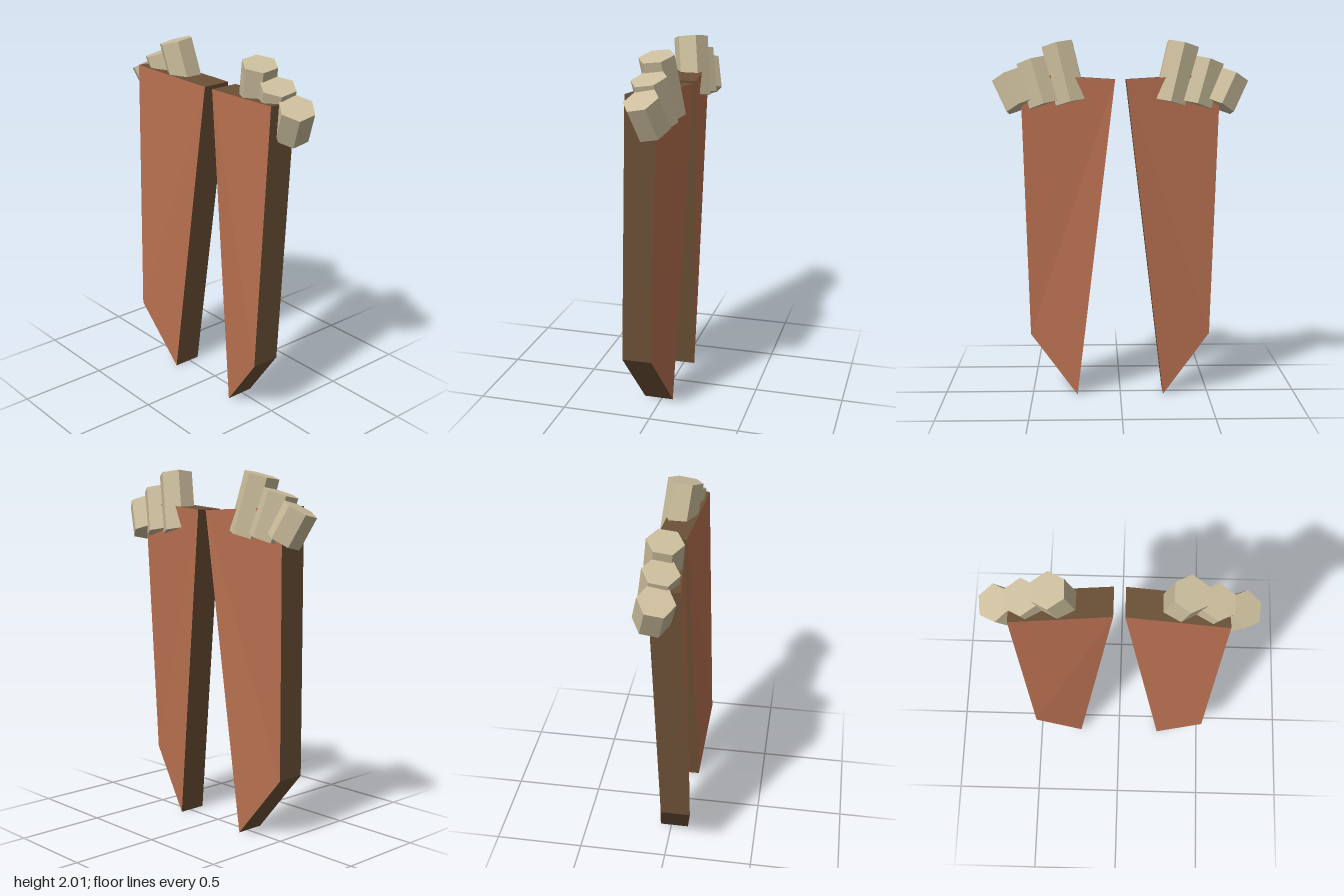
import * as THREE from 'three';

const THICK = 0.165;
// Panel outline on its front face (left side): inner top, outer top, outer bottom, tip
const OUTLINE = [
  [0.03, 1.79, 0.045],
  [0.55, 1.82, 0.1],
  [0.51, 0.345, 0.147],
  [0.245, 0, 0.1],
];
// Hexagonal pegs: centre of the cap, length, sideways lean and forward lean
const PEGS = [
  { cap: [0.347, 1.98, -0.007], length: 0.33, side: 13.5, forward: 7 },
  { cap: [0.485, 1.89, -0.007], length: 0.255, side: 16, forward: 9 },
  { cap: [0.624, 1.81, -0.007], length: 0.19, side: 26, forward: 12.4 },
];

// Flat-faced geometry from quads, wound the other way on the mirrored side
function quadGeometry(quads, side) {
  const pos = [];
  for (const [a, b, c, d] of quads) {
    const corners = side > 0 ? [a, c, b, a, d, c] : [a, b, c, a, c, d];
    for (const [x, y, z] of corners) pos.push(x * side, y, z);
  }
  const g = new THREE.BufferGeometry();
  g.setAttribute('position', new THREE.Float32BufferAttribute(pos, 3));
  g.computeVertexNormals();
  return g;
}

function makeSide(side, mats) {
  const half = new THREE.Group();
  half.name = side > 0 ? 'leftHalf' : 'rightHalf';
  const add = (geometry, material, name) => {
    const mesh = new THREE.Mesh(geometry, material);
    mesh.name = name;
    half.add(mesh);
    return mesh;
  };

  // Tapered slab: broad faces and rim
  const front = OUTLINE;
  const back = OUTLINE.map(([x, y, z]) => [x, y, z - THICK]);
  const rim = front.map((p, i) => {
    const j = (i + 1) % 4;
    return [p, back[i], back[j], front[j]];
  });
  const [a, b, c, d] = back;
  add(quadGeometry([front, [a, d, c, b]], side), mats.rust, 'panelFaces');
  add(quadGeometry(rim, side), mats.wood, 'panelRim');

  // Fanned pegs, hung down from their caps
  PEGS.forEach(({ cap, length, side: lean, forward }, i) => {
    const g = new THREE.CylinderGeometry(0.0975, 0.0975, length, 6);
    g.translate(0, -length / 2, 0);
    const peg = add(g, mats.bone, 'peg' + (i + 1));
    peg.position.set(cap[0] * side, cap[1], cap[2]);
    peg.rotation.set(
      THREE.MathUtils.degToRad(forward), 0,
      THREE.MathUtils.degToRad(-lean * side), 'ZYX');
  });
  return half;
}

export function createModel() {
  const material = (name, color) => {
    const m = new THREE.MeshStandardMaterial({ color, flatShading: true });
    m.name = name;
    return m;
  };
  const mats = {
    rust: material('rust', 0xb87050),
    wood: material('dark wood', 0x6b5036),
    bone: material('bone', 0xcbbd9c),
  };
  const model = new THREE.Group();
  model.name = 'pairedPanels';
  for (const side of [1, -1]) model.add(makeSide(side, mats));
  return model;
}
